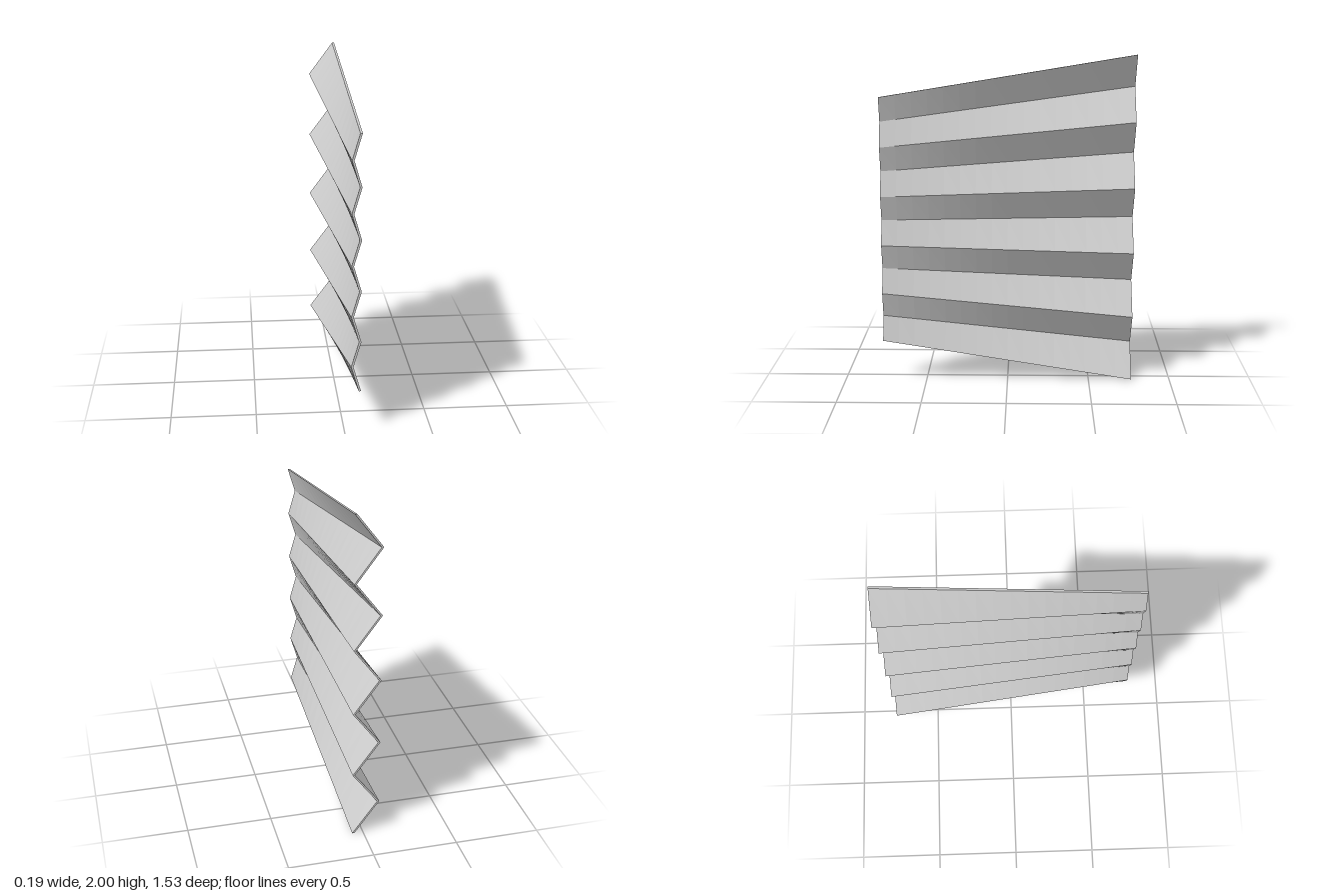
import * as THREE from 'three';

const FOLDS = 10, SLICES = 16, HALF_DEPTH = 0.765, THICKNESS = 0.013;
const lerp = THREE.MathUtils.lerp;

// Point on the pleated sheet: fold line i, t = 0 (back) to 1 (front), side 0 = right face, 1 = left face
function sheetPoint(i, t, side) {
  const ridge = i % 2 === 0;
  const x = ridge ? lerp(0.052, 0.081, t) : lerp(-0.097, 0.037, t);
  const y = 1 + (i / FOLDS - 0.5) * lerp(2, 1.5, t);
  return [x + side * THICKNESS, y, lerp(-HALF_DEPTH, HALF_DEPTH, t)];
}

function pleatedGeometry() {
  const positions = [];
  const quad = (a, b, c, d) => positions.push(...a, ...b, ...c, ...a, ...c, ...d);
  for (let s = 0; s < SLICES; s++) {
    const t0 = s / SLICES, t1 = (s + 1) / SLICES;
    // Both faces of each pleat
    for (let i = 0; i < FOLDS; i++) {
      const [a, b, c, d] = [[i, t0], [i + 1, t0], [i + 1, t1], [i, t1]];
      quad(...[a, b, c, d].map(p => sheetPoint(...p, 1)));
      quad(...[d, c, b, a].map(p => sheetPoint(...p, 0)));
    }
    // Thin top and bottom edges
    const edge = i => [sheetPoint(i, t0, 0), sheetPoint(i, t1, 0), sheetPoint(i, t1, 1), sheetPoint(i, t0, 1)];
    quad(...edge(FOLDS));
    quad(...edge(0).reverse());
  }
  // Zigzag front and back edges
  for (let i = 0; i < FOLDS; i++) {
    const cap = t => [sheetPoint(i, t, 0), sheetPoint(i, t, 1), sheetPoint(i + 1, t, 1), sheetPoint(i + 1, t, 0)];
    quad(...cap(1));
    quad(...cap(0).reverse());
  }
  const geometry = new THREE.BufferGeometry();
  geometry.setAttribute('position', new THREE.Float32BufferAttribute(positions, 3));
  geometry.computeVertexNormals();
  return geometry;
}

export function createModel() {
  const group = new THREE.Group();
  group.name = 'foldedPanel';
  const material = new THREE.MeshStandardMaterial({ color: 0xcccccc, flatShading: true });
  const sheet = new THREE.Mesh(pleatedGeometry(), material);
  sheet.name = 'pleatedSheet';
  group.add(sheet);
  return group;
}
